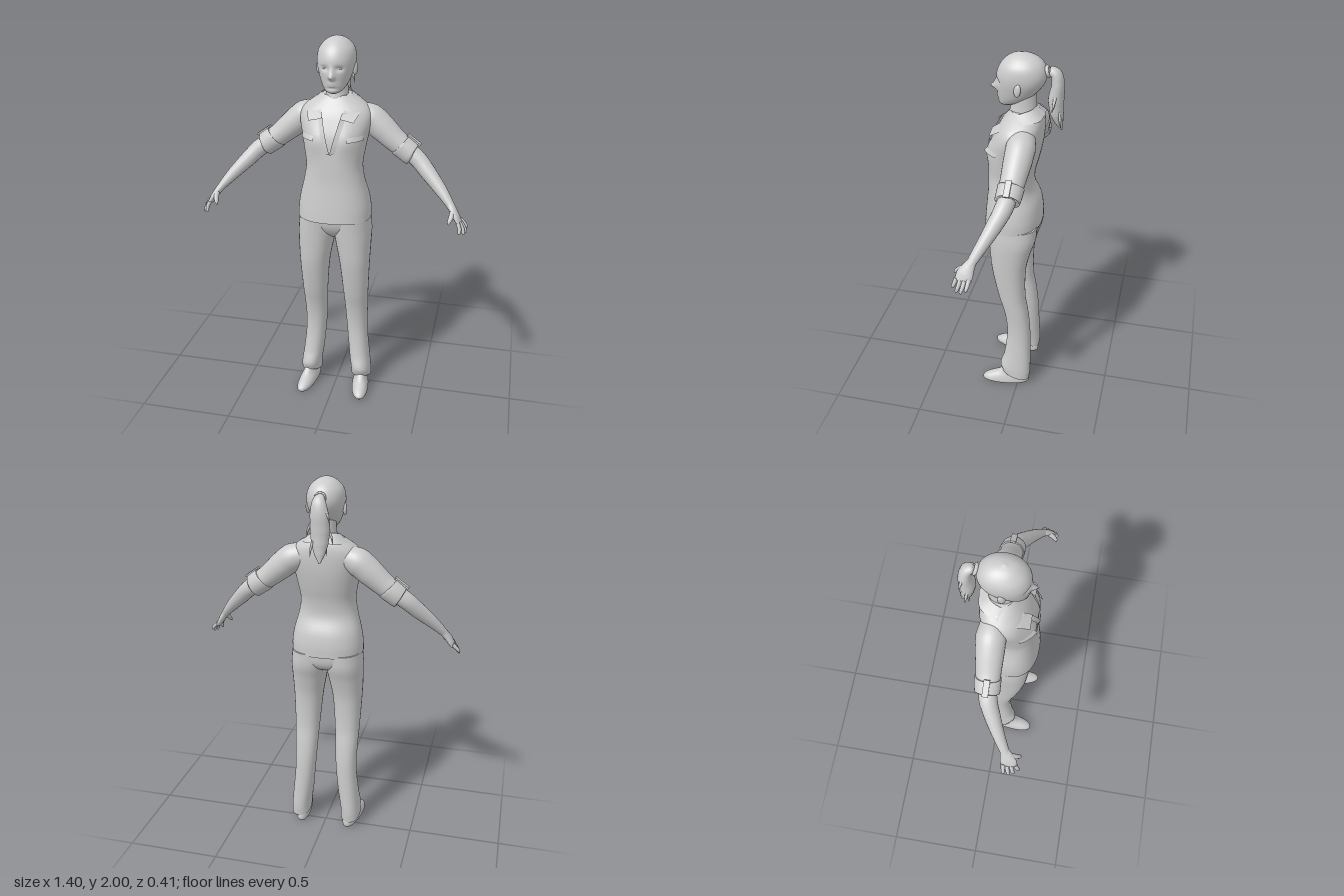
import * as THREE from 'three';

const V = (x, y, z) => new THREE.Vector3(x, y, z);
const grey = new THREE.MeshStandardMaterial({ color: 0xcccccc, side: THREE.DoubleSide });
grey.name = 'light grey';

// Skin a list of closed rings, with flat caps at both ends
function loft(rings) {
  const n = rings[0].length, pos = [], idx = [];
  rings.forEach(r => r.forEach(p => pos.push(p.x, p.y, p.z)));
  for (let i = 0; i < rings.length - 1; i++) for (let j = 0; j < n; j++) {
    const a = i * n + j, b = i * n + (j + 1) % n;
    idx.push(a, b, a + n, b, b + n, a + n);
  }
  [rings[0], rings[rings.length - 1]].forEach((r, end) => {
    const start = pos.length / 3, c = V(0, 0, 0);
    r.forEach(p => { pos.push(p.x, p.y, p.z); c.addScaledVector(p, 1 / n); });
    pos.push(c.x, c.y, c.z);
    for (let j = 0; j < n; j++) {
      const a = start + j, b = start + (j + 1) % n;
      idx.push(start + n, end ? a : b, end ? b : a);
    }
  });
  const g = new THREE.BufferGeometry();
  g.setAttribute('position', new THREE.Float32BufferAttribute(pos, 3));
  g.setIndex(idx);
  g.computeVertexNormals();
  return g;
}

// Smooth reading of rows [y, ...values] at a height y
function at(rows, y) {
  let i = 0;
  while (i < rows.length - 2 && y > rows[i + 1][0]) i++;
  const slope = (k, c) => {
    const a = rows[Math.max(k - 1, 0)], b = rows[Math.min(k + 1, rows.length - 1)];
    return (b[c] - a[c]) / (b[0] - a[0]);
  };
  const p = rows[i], q = rows[i + 1], h = q[0] - p[0], t = (y - p[0]) / h, t2 = t * t, t3 = t2 * t;
  return p.map((v, c) => c === 0 ? y : (2 * t3 - 3 * t2 + 1) * v + (t3 - 2 * t2 + t) * h * slope(i, c)
    + (3 * t2 - 2 * t3) * q[c] + (t3 - t2) * h * slope(i + 1, c));
}

// Upright body: rows of [y, xMin, xMax, zBack, zFront], n squares the outline, move() shapes vertices
function body(rows, n = 2, sides = 40, move = p => p, steps = 4) {
  const rings = [], pw = v => Math.sign(v) * Math.abs(v) ** (2 / n);
  for (let i = 0; i < rows.length - 1; i++)
    for (let s = 0; s < steps + (i === rows.length - 2 ? 1 : 0); s++) {
      const y = rows[i][0] + (rows[i + 1][0] - rows[i][0]) * s / steps;
      const [, x0, x1, zb, zf] = at(rows, y);
      rings.push(Array.from({ length: sides }, (_, j) => {
        const a = j / sides * Math.PI * 2;
        return move(V((x0 + x1) / 2 + (x1 - x0) / 2 * pw(Math.cos(a)), y, (zb + zf) / 2 - (zf - zb) / 2 * pw(Math.sin(a))));
      }));
    }
  return loft(rings);
}
const sym = rows => rows.map(([y, w, b, f]) => [y, -w, w, b, f]);

// Limb along a curve: rows of [x, y, z, radius along z, radius across]
function limb(rows, sides = 20, steps = 5) {
  const curve = new THREE.CatmullRomCurve3(rows.map(r => V(r[0], r[1], r[2])));
  const count = (rows.length - 1) * steps, rings = [];
  for (let i = 0; i <= count; i++) {
    const t = i / count, k = Math.min(Math.floor(i / steps), rows.length - 2), f = i / steps - k;
    const c = curve.getPoint(t), T = curve.getTangent(t);
    const U = V(0, 0, 1).addScaledVector(T, -T.z).normalize(), W = T.clone().cross(U);
    const mix = col => THREE.MathUtils.lerp(rows[k][col], rows[k + 1][col], f);
    rings.push(Array.from({ length: sides }, (_, j) => {
      const a = j / sides * Math.PI * 2;
      return c.clone().addScaledVector(U, mix(3) * Math.cos(a)).addScaledVector(W, mix(4) * Math.sin(a));
    }));
  }
  return loft(rings);
}

// Cloth strip between two edges
function ribbon(inner, outer, steps = 16) {
  const a = new THREE.CatmullRomCurve3(inner), b = new THREE.CatmullRomCurve3(outer);
  const g = new THREE.PlaneGeometry(1, 1, steps, 1), p = g.attributes.position;
  for (let i = 0; i <= steps; i++) {
    const u = a.getPoint(i / steps), v = b.getPoint(i / steps);
    p.setXYZ(i, u.x, u.y, u.z);
    p.setXYZ(i + steps + 1, v.x, v.y, v.z);
  }
  g.computeVertexNormals();
  return g;
}

function mirrored(g) {
  const m = g.clone().scale(-1, 1, 1), ix = m.index.array;
  for (let i = 0; i < ix.length; i += 3) [ix[i], ix[i + 1]] = [ix[i + 1], ix[i]];
  m.computeVertexNormals();
  return m;
}

const bump = (x, y, cx, cy, sx, sy) => Math.exp(-(((x - cx) / sx) ** 2) - ((y - cy) / sy) ** 2);

export function createModel() {
  const model = new THREE.Group();
  const add = (name, g) => {
    const m = new THREE.Mesh(g, grey);
    m.name = name;
    model.add(m);
    return m;
  };
  const pair = (name, g) => { add('left' + name, g); add('right' + name, mirrored(g)); };

  // Shirt
  const shirt = sym([[1.07, .192, -.1, .2], [1.13, .19, -.1, .195], [1.2, .178, -.088, .188], [1.28, .157, -.055, .18],
    [1.36, .146, -.058, .178], [1.44, .157, -.078, .175], [1.52, .172, -.095, .165], [1.59, .185, -.102, .14],
    [1.64, .172, -.102, .115], [1.68, .125, -.095, .085], [1.71, .075, -.08, .06]]);
  const bust = (x, y) => .014 * bump(Math.abs(x), y, .08, 1.5, .05, .06);
  add('shirt', body(shirt, 2.35, 56, p => {
    if (p.z > .05) p.z += bust(p.x, p.y);
    return p;
  }));
  const frontZ = (x, y) => {
    const [, , w, b, f] = at(shirt, y);
    return (b + f) / 2 + (f - b) / 2 * Math.max(0, 1 - Math.abs(x / w) ** 2.35) ** (1 / 2.35) + bust(x, y);
  };
  const onShirt = (x, y, lift) => V(x, y, frontZ(x, y) + lift);

  // Collar, open neck edges and pocket flaps
  pair('Collar', ribbon(
    [V(0, 1.735, -.068), V(.055, 1.73, -.045), V(.078, 1.71, .015), V(.062, 1.665, .085), V(.045, 1.615, .15)],
    [V(0, 1.69, -.108), V(.085, 1.685, -.09), V(.13, 1.677, .0), V(.135, 1.64, .085), V(.115, 1.6, .15)]));
  const ys = [1.64, 1.59, 1.54, 1.49, 1.44];
  pair('NeckEdge', ribbon(ys.map(y => onShirt((y - 1.44) * .26, y, .012)), ys.map(y => onShirt((y - 1.44) * .26 + .025, y, .004))));
  const xs = [.085, .105, .125, .145, .158];
  pair('PocketFlap', ribbon(xs.map(x => onShirt(x, 1.528, .003)), xs.map(x => onShirt(x, 1.505, .013))));

  // Trousers
  add('hips', body(sym([[.95, .03, .02, .09], [.99, .13, -.06, .14], [1.04, .185, -.088, .165], [1.12, .182, -.088, .175]]), 2.3));
  pair('TrouserLeg', body([[.04, .092, .202, -.065, .09], [.1, .09, .2, -.07, .105], [.2, .078, .19, -.068, .085],
    [.32, .066, .178, -.065, .07], [.42, .058, .175, -.06, .07], [.52, .052, .178, -.048, .085], [.62, .046, .182, -.033, .112],
    [.8, .03, .19, -.035, .148], [.92, .008, .195, -.06, .16], [1.0, -.006, .196, -.085, .166], [1.08, -.006, .188, -.09, .172]],
  2.25, 32, p => {
    if (p.y < .2) p.y += (p.z + .065) * .3 * (.2 - p.y) / .16;
    return p;
  }));

  // Shoes, toes turned out
  pair('Shoe', body([[0, .103, .182, -.055, .195], [.012, .097, .19, -.062, .208], [.03, .097, .188, -.062, .203],
    [.05, .103, .183, -.058, .17], [.07, .11, .177, -.05, .125], [.1, .115, .173, -.045, .09]], 2.2, 32, p => {
    p.x += p.z * .12;
    return p;
  }, 3));

  // Sleeves with turned-up cuffs and a button tab
  pair('Sleeve', limb([[.1, 1.605, -.022, .06, .06], [.17, 1.585, -.023, .073, .073], [.23, 1.538, -.02, .07, .07],
    [.3, 1.478, -.014, .062, .06], [.36, 1.433, -.01, .057, .055]], 28));
  pair('Cuff', limb([[.327, 1.46, -.012, .055, .054], [.329, 1.458, -.012, .065, .064], [.36, 1.435, -.01, .064, .063],
    [.39, 1.412, -.006, .061, .06], [.392, 1.411, -.006, .048, .046]], 28, 3));
  const tab = new THREE.BoxGeometry(.085, .009, .03).rotateZ(-.63).translate(.397, 1.488, -.01);
  pair('SleeveTab', tab);

  // Forearms, palms, fingers
  pair('Forearm', limb([[.35, 1.44, -.01, .045, .045], [.42, 1.392, .003, .045, .045], [.48, 1.333, .033, .04, .041],
    [.55, 1.262, .075, .031, .032], [.605, 1.2, .112, .024, .021], [.622, 1.178, .124, .026, .019]]));
  pair('Palm', limb([[.603, 1.203, .11, .022, .019], [.622, 1.178, .125, .032, .019], [.642, 1.148, .138, .042, .017],
    [.657, 1.122, .145, .041, .013], [.66, 1.115, .146, .03, .006]]));
  [[.653, 1.13, .178, .664, 1.075, .195], [.66, 1.125, .157, .684, 1.067, .171],
    [.662, 1.125, .136, .693, 1.069, .148], [.66, 1.13, .115, .694, 1.085, .122]].forEach(([x, y, z, X, Y, Z], i) =>
    pair('Finger' + (i + 1), limb([[x, y, z, .011, .011], [(x + X) / 2 + .006, (y + Y) / 2, (z + Z) / 2, .01, .01],
      [X, Y + .008, Z, .008, .008], [X, Y, Z, .002, .002]], 10, 3)));
  pair('Thumb', limb([[.622, 1.178, .14, .014, .014], [.618, 1.158, .172, .013, .013], [.611, 1.137, .191, .01, .01],
    [.607, 1.124, .197, .003, .003]], 10, 3));

  // Neck and head with a modelled face
  add('neck', body(sym([[1.62, .075, -.07, .09], [1.7, .059, -.067, .071], [1.75, .054, -.064, .06], [1.82, .054, -.06, .05]])));
  add('head', body(sym([[1.728, .012, .065, .1], [1.737, .034, .045, .119], [1.755, .053, .0, .126], [1.785, .07, -.045, .128],
    [1.82, .083, -.08, .132], [1.86, .094, -.106, .133], [1.9, .096, -.114, .13], [1.94, .087, -.103, .113],
    [1.97, .064, -.078, .086], [1.99, .035, -.038, .053], [2, .003, .008, .014]]), 2.1, 64, p => {
    if (p.z > .04) {
      const ax = Math.abs(p.x);
      p.z += .03 * bump(p.x, p.y, 0, 1.818, .013, .015) + .012 * bump(p.x, p.y, 0, 1.842, .011, .022)
        - .013 * bump(ax, p.y, .036, 1.857, .019, .012) + .006 * bump(p.x, p.y, 0, 1.785, .02, .007)
        + .005 * bump(p.x, p.y, 0, 1.773, .018, .006) - .005 * bump(p.x, p.y, 0, 1.76, .03, .006);
    }
    return p;
  }, 6));
  pair('Eye', new THREE.SphereGeometry(.012, 16, 10).scale(1.2, .5, .6).translate(.036, 1.857, .107));
  pair('Ear', new THREE.SphereGeometry(.03, 16, 12).scale(.35, 1.1, .62).rotateY(-.35).rotateX(-.15).translate(.094, 1.842, .012));

  // Ponytail with its band and loose strands
  add('hairBand', new THREE.TorusGeometry(.022, .009, 8, 20).rotateX(.25).translate(0, 1.915, -.117));
  add('ponytail', limb([[0, 1.9, -.09, .02, .02], [0, 1.918, -.12, .02, .022], [-.003, 1.905, -.153, .027, .034],
    [-.008, 1.85, -.165, .032, .046], [-.01, 1.77, -.157, .039, .05], [-.01, 1.7, -.163, .033, .042],
    [-.012, 1.65, -.175, .02, .026], [-.014, 1.61, -.188, .003, .004]], 24));
  [[-.045, 1.78, -.15, -.075, 1.7, -.16], [.035, 1.8, -.16, .06, 1.73, -.15], [-.03, 1.88, -.17, -.065, 1.81, -.185],
    [.02, 1.72, -.18, .035, 1.64, -.19], [-.03, 1.72, -.15, -.04, 1.64, -.15]].forEach(([x, y, z, X, Y, Z], i) =>
    add('looseStrand' + (i + 1), limb([[x, y, z, .008, .008], [(x + X * 2) / 3, (y + Y) / 2, (z + Z) / 2, .007, .006],
      [X, Y, Z, .001, .001]], 8, 4)));
  return model;
}
